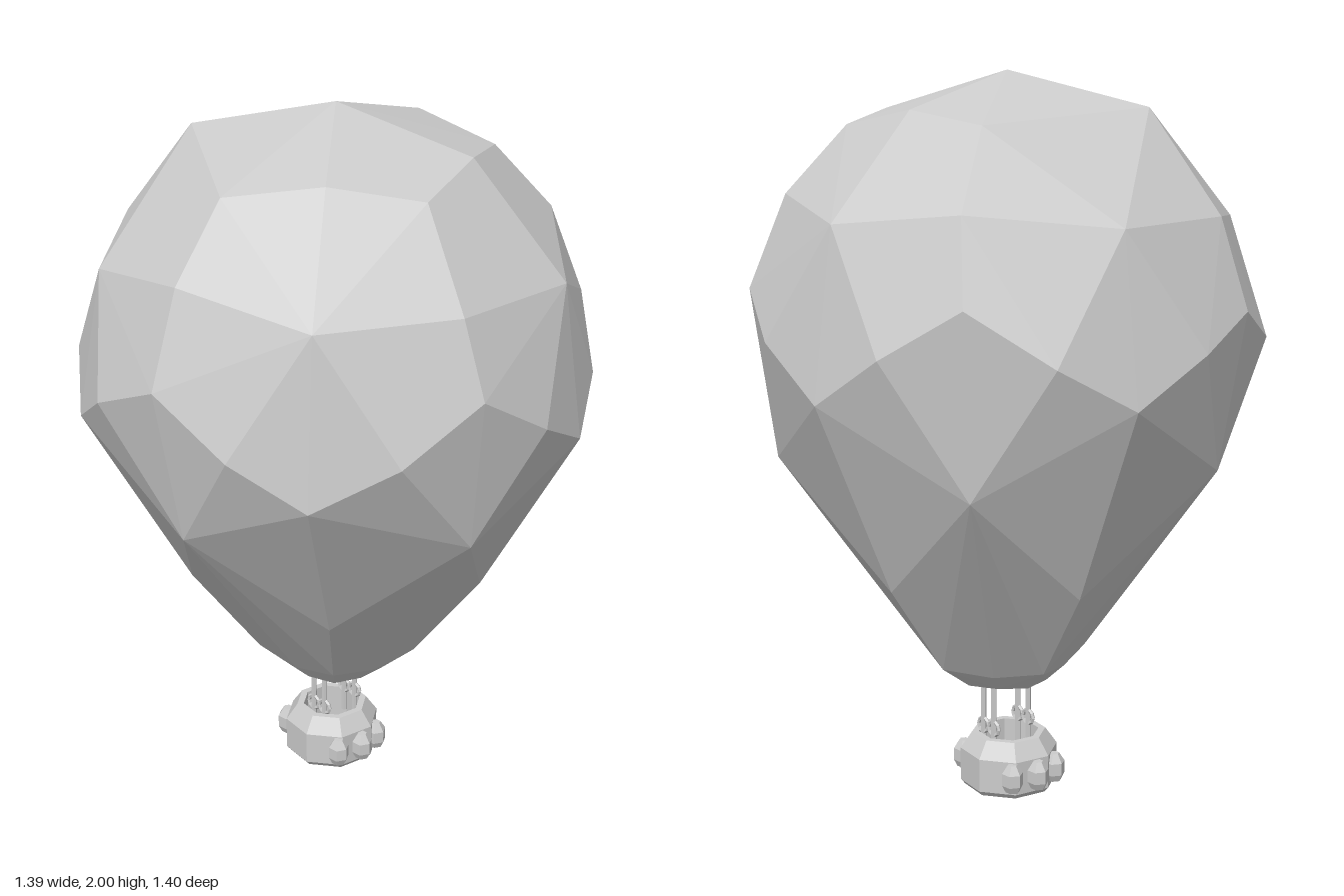
import * as THREE from 'three';
import { ConvexGeometry } from 'three/addons/geometries/ConvexGeometry.js';

const material = new THREE.MeshStandardMaterial({
  color: 0xcccccc, flatShading: true, side: THREE.DoubleSide,
});

function add(parent, name, geometry, x = 0, y = 0, z = 0) {
  const mesh = new THREE.Mesh(geometry, material);
  mesh.name = name;
  mesh.position.set(x, y, z);
  parent.add(mesh);
  return mesh;
}

// Uneven faceted envelope, one short list of [x, z] corners per height band
function envelopeGeometry() {
  const crown = [
    [-0.02, 2, 0.02], [0.35, 1.91, -0.01], [0.34, 1.86, 0.26], [0.11, 1.89, 0.37],
    [-0.14, 1.84, 0.43], [-0.31, 1.88, 0.25], [-0.45, 1.84, 0.03],
    [0.32, 1.88, -0.25], [-0.18, 1.91, -0.35],
  ];
  const shoulder = [
    [-0.51, 1.59, 0.39], [-0.2, 1.6, 0.6], [0.2, 1.59, 0.61], [0.48, 1.68, 0.35],
    [0.62, 1.64, -0.02], [0.49, 1.68, -0.36], [0.16, 1.64, -0.59],
    [-0.22, 1.64, -0.57], [-0.54, 1.6, -0.33], [-0.61, 1.65, 0.03],
  ];
  const middle = [
    [0.57, 1.43, 0.4], [0.4, 1.28, 0.57], [0.24, 1.16, 0.65], [0.02, 1.27, 0.7],
    [-0.2, 1.4, 0.67], [-0.4, 1.26, 0.58], [-0.55, 1.14, 0.41], [-0.66, 1.26, 0.24],
    [-0.7, 1.4, 0.03], [-0.67, 1.3, -0.21], [-0.57, 1.18, -0.4], [-0.43, 1.3, -0.56],
    [-0.24, 1.4, -0.65], [-0.03, 1.32, -0.7], [0.19, 1.2, -0.67], [0.39, 1.32, -0.59],
    [0.54, 1.46, -0.42], [0.66, 1.33, -0.24], [0.69, 1.19, -0.03], [0.67, 1.32, 0.2],
  ];
  const points = [...crown, ...shoulder, ...middle].map((p) => new THREE.Vector3(...p));

  // Five-fold rings tapering to the mouth: y, radius, first angle, centre x and z
  const rings = [
    [0.97, 0.625, 33, 0.01, 0], [0.655, 0.425, -3, 0.035, -0.02],
    [0.395, 0.235, -3, 0.045, -0.03], [0.375, 0.19, 33, 0.04, -0.025],
    [0.32, 0.14, -3, 0.035, -0.025], [0.32, 0.13, 33, 0.035, -0.025],
  ];
  for (const [y, r, start, cx, cz] of rings) {
    for (let i = 0; i < 5; i++) {
      const a = THREE.MathUtils.degToRad(start + i * 72);
      points.push(new THREE.Vector3(cx + r * Math.cos(a), y, cz + r * Math.sin(a)));
    }
  }

  // Leave the mouth open by dropping the faces that would close it
  const hull = new ConvexGeometry(points).getAttribute('position');
  const kept = [];
  for (let i = 0; i < hull.count; i += 3) {
    if (Math.max(hull.getY(i), hull.getY(i + 1), hull.getY(i + 2)) < 0.33) continue;
    for (let j = i; j < i + 3; j++) kept.push(hull.getX(j), hull.getY(j), hull.getZ(j));
  }
  const geometry = new THREE.BufferGeometry();
  geometry.setAttribute('position', new THREE.Float32BufferAttribute(kept, 3));
  geometry.computeVertexNormals();
  return geometry;
}

export function createModel() {
  const model = new THREE.Group();
  model.name = 'hotAirBalloon';
  add(model, 'envelope', envelopeGeometry());

  const gondola = new THREE.Group();
  gondola.name = 'gondola';
  gondola.position.set(0.045, 0, -0.055);
  model.add(gondola);

  // Octagonal basket with a sloping rim and a hollow inside
  const profile = [
    [0, 0.005], [0.125, 0.005], [0.138, 0.02], [0.138, 0.115],
    [0.105, 0.162], [0.085, 0.162], [0.085, 0.04], [0, 0.04],
  ].map(([r, y]) => new THREE.Vector2(r, y));
  const basket = add(gondola, 'basket', new THREE.LatheGeometry(profile, 8));
  basket.rotation.y = THREE.MathUtils.degToRad(10);

  // Three sandbags on the front and three on the back
  const bagProfile = [[0, 0], [0.02, 0], [0.03, 0.02], [0.03, 0.055], [0.014, 0.08], [0, 0.08]]
    .map(([r, y]) => new THREE.Vector2(r, y));
  const bagGeometry = new THREE.LatheGeometry(bagProfile, 6);
  for (const centre of [97, 277]) {
    for (const offset of [-32, 0, 32]) {
      const a = THREE.MathUtils.degToRad(centre + offset);
      add(gondola, 'sandbag', bagGeometry, 0.138 * Math.cos(a), 0.032, 0.138 * Math.sin(a));
    }
  }

  // Paired posts with a ring at each foot, and the crossed frame in the mouth
  for (const x of [-0.068, 0.065]) {
    for (const z of [-0.008, 0.034]) {
      add(gondola, 'post', new THREE.CylinderGeometry(0.008, 0.008, 0.25, 6), x, 0.225, z);
      const ring = add(gondola, 'postRing', new THREE.TorusGeometry(0.02, 0.006, 5, 10), x, 0.185, z);
      ring.rotation.y = Math.PI / 2;
    }
  }
  for (const side of [-1, 1]) {
    const bar = add(gondola, 'mouthBar', new THREE.BoxGeometry(0.25, 0.014, 0.018), -0.01, 0.333, 0.03);
    bar.rotation.y = side * 0.6;
  }
  return model;
}
